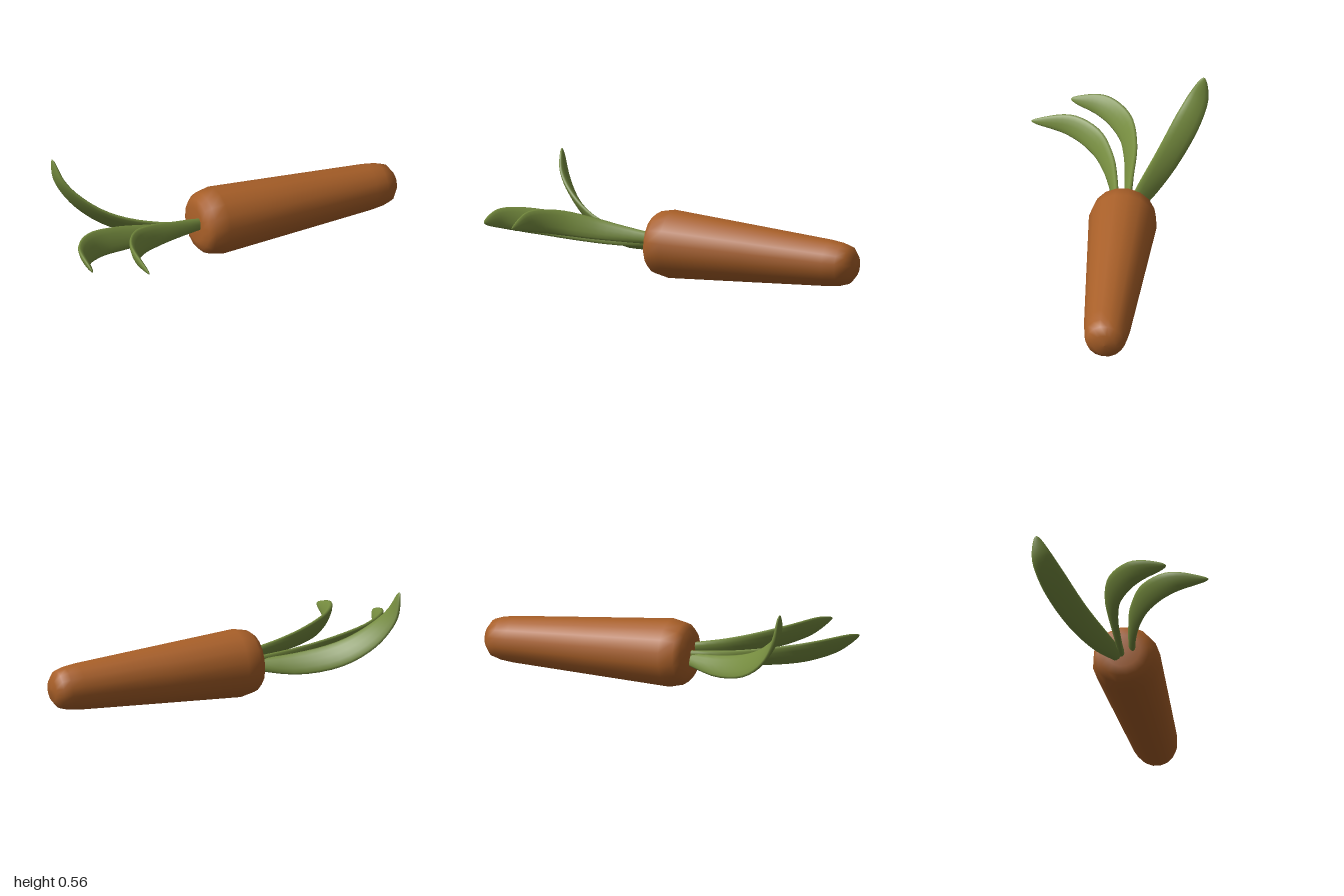
import * as THREE from 'three';

const V = (a) => new THREE.Vector3(...a);

// Blade lofted along a centre line; each station holds a centre and a half-width vector
function leafGeometry(stations, thickness = 0.017, rings = 28, sides = 12) {
  const centre = new THREE.CatmullRomCurve3(stations.map((s) => V(s[0])));
  const width = new THREE.CatmullRomCurve3(stations.map((s) => V(s[1])));
  const pos = [], idx = [];
  for (let i = 0; i <= rings; i++) {
    // stations bunch up towards the tip so that it rounds off smoothly
    const u = Math.sin((i / rings) * Math.PI / 2);
    const k = Math.max(0, (u - 0.75) / 0.25);
    const cap = Math.sqrt(Math.max(0, 1 - k * k));
    const c = centre.getPoint(u), w = width.getPoint(u), t = centre.getTangent(u);
    w.addScaledVector(t, -w.dot(t));
    const n = t.clone().cross(w).normalize().multiplyScalar(thickness * cap);
    w.multiplyScalar(cap);
    for (let j = 0; j < sides; j++) {
      const a = (j / sides) * Math.PI * 2;
      const p = c.clone().addScaledVector(w, Math.cos(a)).addScaledVector(n, Math.sin(a));
      pos.push(p.x, p.y, p.z);
      if (i < rings) {
        const a0 = i * sides + j, b0 = i * sides + (j + 1) % sides;
        idx.push(a0, b0, b0 + sides, a0, b0 + sides, a0 + sides);
      }
    }
  }
  const g = new THREE.BufferGeometry();
  g.setAttribute('position', new THREE.Float32BufferAttribute(pos, 3));
  g.setIndex(idx);
  g.computeVertexNormals();
  return g;
}

export function createModel() {
  const group = new THREE.Group();
  const orange = new THREE.MeshStandardMaterial({ color: 0xa85f28 });
  const green = new THREE.MeshStandardMaterial({ color: 0x748a3e, side: THREE.DoubleSide });

  // Tapered root lying on its side, crown to the front
  const profile = [[0, 0], [0.09, 0], [0.135, 0.015], [0.162, 0.045], [0.178, 0.12],
    [0.15, 0.56], [0.121, 1.01], [0.112, 1.08], [0.098, 1.125], [0.06, 1.155], [0, 1.16]];
  const root = new THREE.Mesh(
    new THREE.LatheGeometry(profile.map((p) => new THREE.Vector2(...p)), 16), orange);
  const crown = V([0.063, 0.18, 0.137]), tip = V([0.335, 0.135, -0.985]);
  root.position.copy(crown);
  root.quaternion.setFromUnitVectors(new THREE.Vector3(0, 1, 0), tip.sub(crown).normalize());
  root.name = 'root';
  group.add(root);

  // Three curling leaves: [centre, half width] from crown to tip
  const leaves = {
    middleLeaf: [
      [[0.06, 0.175, 0.1], [-0.005, 0.027, 0]],
      [[0.01, 0.19, 0.35], [-0.02, 0.042, 0]],
      [[-0.03, 0.22, 0.57], [-0.032, 0.056, 0]],
      [[-0.025, 0.25, 0.75], [-0.034, 0.062, 0.01]],
      [[0.06, 0.275, 0.9], [-0.022, 0.054, 0.02]],
      [[0.22, 0.28, 0.985], [-0.01, 0.035, 0.015]]],
    leftLeaf: [
      [[0.112, 0.2, 0.1], [-0.005, 0.027, 0]],
      [[0.1, 0.225, 0.3], [-0.016, 0.042, 0]],
      [[0.107, 0.25, 0.45], [-0.025, 0.054, 0]],
      [[0.15, 0.28, 0.6], [-0.025, 0.062, 0.012]],
      [[0.26, 0.302, 0.725], [-0.015, 0.055, 0.015]],
      [[0.455, 0.297, 0.8], [-0.005, 0.03, 0.01]]],
    rightLeaf: [
      [[0.06, 0.158, 0.1], [0.012, 0.025, 0.01]],
      [[-0.08, 0.166, 0.31], [0.03, 0.052, 0.015]],
      [[-0.21, 0.222, 0.48], [0.045, 0.055, 0.015]],
      [[-0.32, 0.325, 0.6], [0.055, 0.045, 0.015]],
      [[-0.395, 0.44, 0.665], [0.052, 0.022, 0.012]],
      [[-0.432, 0.562, 0.685], [0.035, 0.01, 0.01]]],
  };
  for (const [name, stations] of Object.entries(leaves)) {
    const leaf = new THREE.Mesh(leafGeometry(stations), green);
    leaf.name = name;
    group.add(leaf);
  }
  return group;
}
